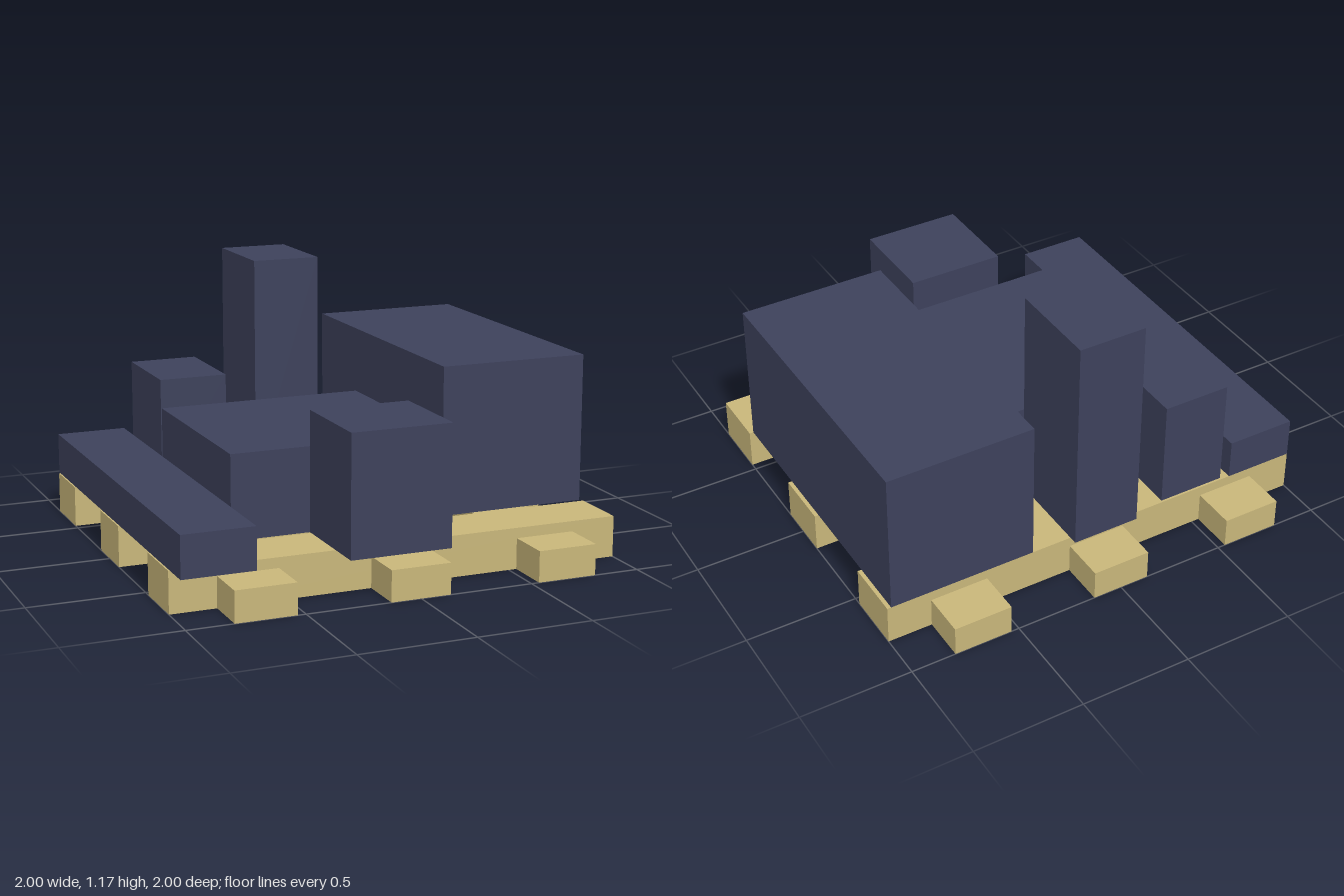
import * as THREE from 'three';

const wood = new THREE.MeshStandardMaterial({ color: 0xc8b67a });
const navy = new THREE.MeshStandardMaterial({ color: 0x3d415b });

// Box given by its extents along each axis
function block(name, material, [x0, x1], [y0, y1], [z0, z1]) {
  const mesh = new THREE.Mesh(new THREE.BoxGeometry(x1 - x0, y1 - y0, z1 - z0), material);
  mesh.position.set((x0 + x1) / 2, (y0 + y1) / 2, (z0 + z1) / 2);
  mesh.name = name;
  return mesh;
}

export function createModel() {
  const model = new THREE.Group();
  model.name = 'loadedPallet';

  // Pallet: three taller cross beams over three lower runners
  const pallet = new THREE.Group();
  pallet.name = 'pallet';
  const half = 0.132;
  for (const c of [-0.667, 0, 0.667]) {
    const span = [c - half, c + half];
    pallet.add(block('crossBeam', wood, [-1, 1], [0, 0.18], span));
    pallet.add(block('runner', wood, span, [0, 0.135], [-1, 1]));
  }
  model.add(pallet);

  // Cargo: name, x extent, top height, z extent
  const cargo = new THREE.Group();
  cargo.name = 'cargo';
  const base = 0.184;
  const crates = [
    ['longLowCrate', [-0.997, -0.683], 0.365, [-0.803, 0.942]],
    ['smallBackCrate', [-0.642, -0.335], 0.678, [-0.793, -0.365]],
    ['tallCrate', [-0.175, 0.132], 1.175, [-0.84, -0.415]],
    ['largeCrate', [0.316, 0.984], 0.835, [-0.803, 0.53]],
    ['middleCrate', [-0.642, 0.296], 0.552, [-0.352, 0.535]],
    ['frontCrate', [-0.294, 0.15], 0.706, [0.537, 0.965]],
  ];
  for (const [name, x, top, z] of crates) cargo.add(block(name, navy, x, [base, top], z));
  model.add(cargo);

  return model;
}
